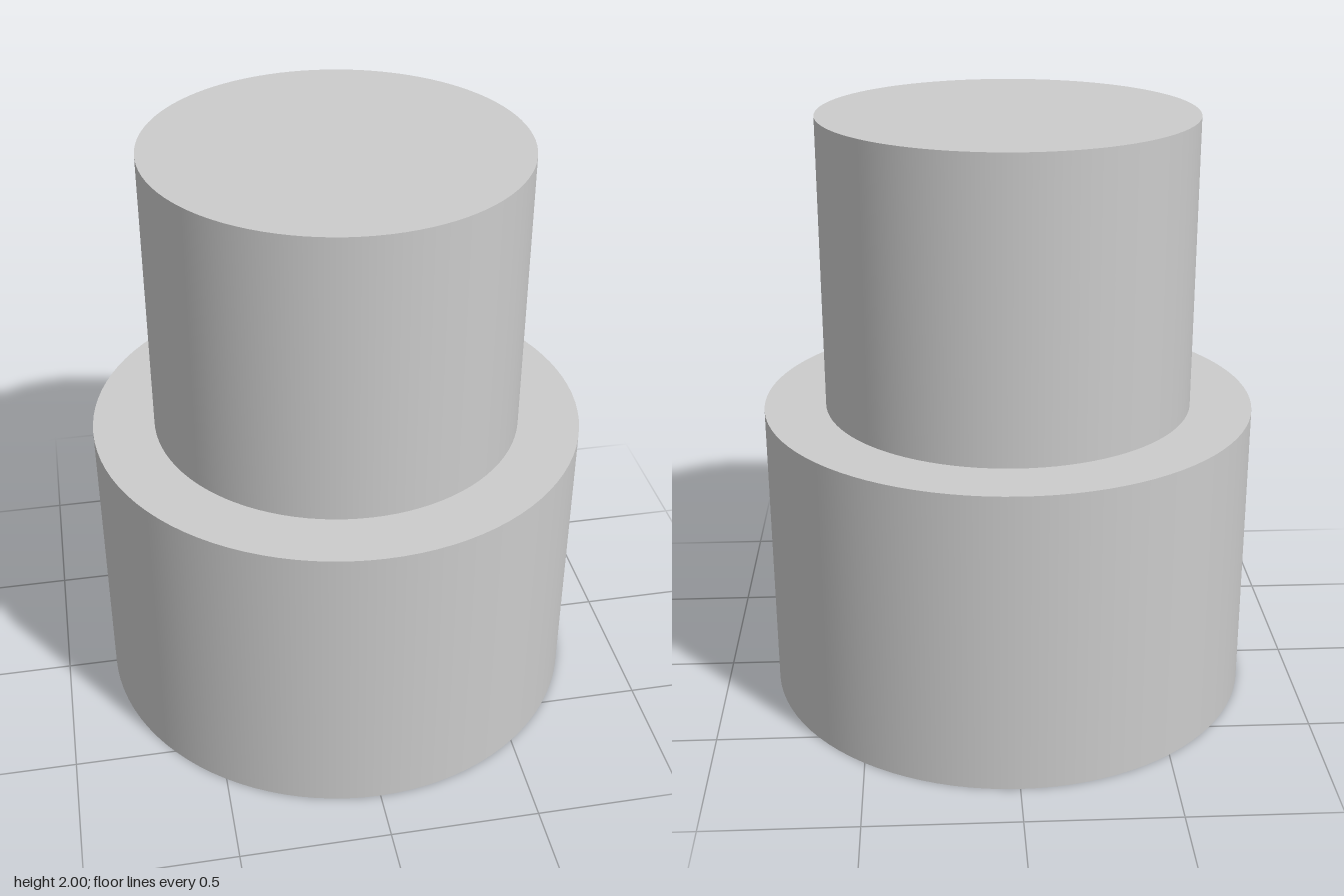
import * as THREE from 'three';

const SEGMENTS = 96;
const BASE_HEIGHT = 1.02;
const TOTAL_HEIGHT = 2;

export function createModel() {
  const model = new THREE.Group();
  model.name = 'steppedCylinder';
  const material = new THREE.MeshStandardMaterial({ color: 0xcccccc });

  // Upright solid cylinder spanning two heights
  function addCylinder(name, radius, bottom, top) {
    const geometry = new THREE.CylinderGeometry(radius, radius, top - bottom, SEGMENTS);
    const mesh = new THREE.Mesh(geometry, material);
    mesh.name = name;
    mesh.position.y = (bottom + top) / 2;
    model.add(mesh);
  }

  // Wide base with a narrower drum standing on it
  addCylinder('base', 0.828, 0, BASE_HEIGHT);
  addCylinder('upperDrum', 0.621, BASE_HEIGHT, TOTAL_HEIGHT);

  return model;
}
